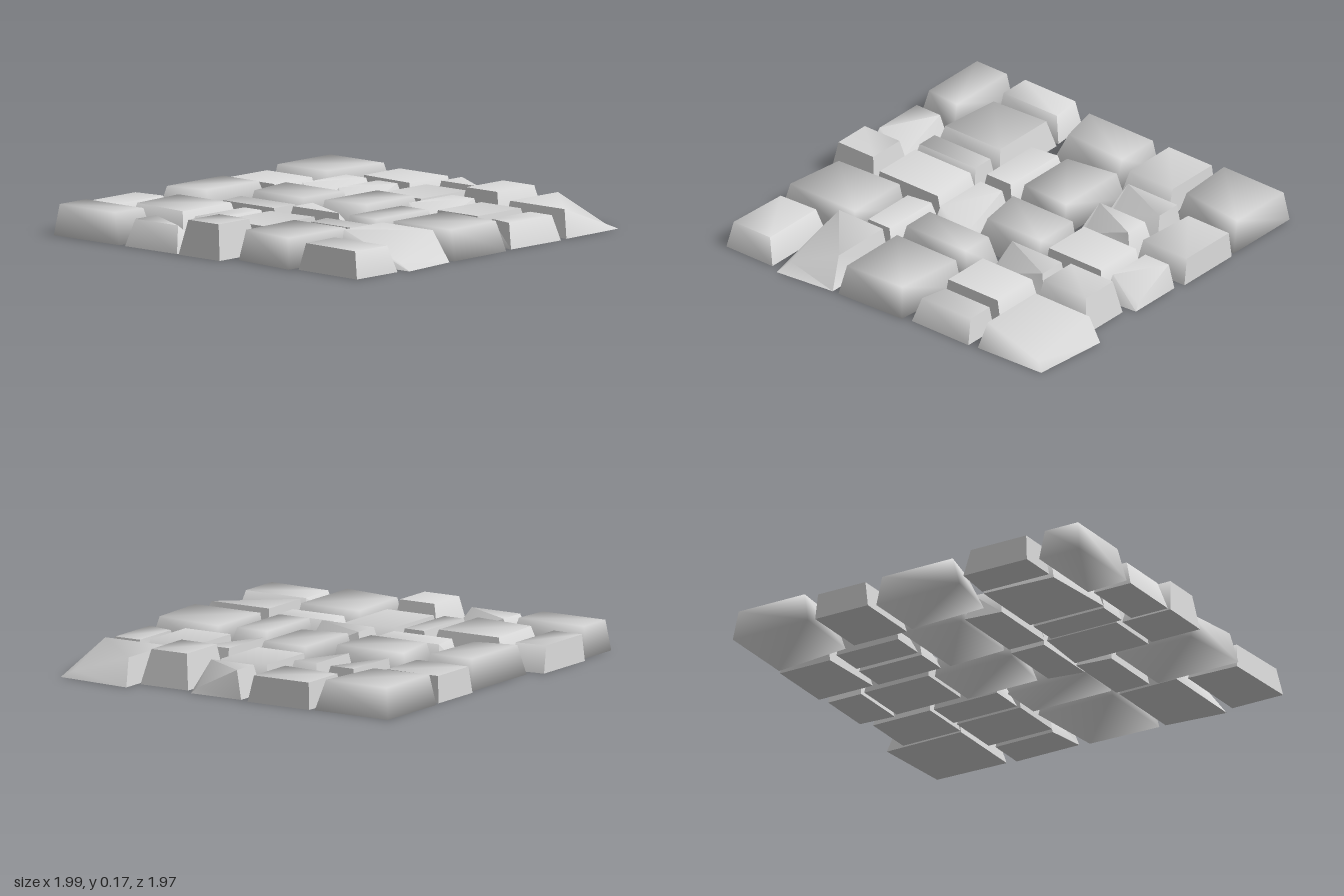
import * as THREE from 'three';
import { toCreasedNormals } from 'three/addons/utils/BufferGeometryUtils.js';

const stoneGrey = new THREE.MeshStandardMaterial({ color: 0xd6d6d6 });
stoneGrey.name = 'stone grey';

// One slab: base rectangle, inset of the top on each side (left, right, back, front), height,
// how far each base side leans, the chipped top corner (0 back left, then clockwise from above),
// and whether its edges are worn round.
function slab([x0, x1, z0, z1], [l, r, b, f], h, options = {}) {
  const { left = 0, right = 0, back = 0, front = 0, chip = -1, worn = false } = options;
  const base = [[x0, z0], [x1, z0 + back], [x1 + right, z1 + front], [x0 + left, z1]];
  const inset = [[l, b], [-r, b], [-r, -f], [l, -f]];
  const points = [
    ...base.map(([x, z]) => [x, 0, z]),
    ...base.map(([x, z], i) => [x + inset[i][0], i === chip ? h * 0.2 : h, z + inset[i][1]]),
  ];
  const index = [0, 1, 2, 0, 2, 3];
  // the top folds along the diagonal beside a chipped corner
  index.push(...(chip === 0 || chip === 2 ? [4, 7, 5, 5, 7, 6] : [4, 6, 5, 4, 7, 6]));
  for (let i = 0; i < 4; i++) {
    const j = (i + 1) % 4;
    index.push(i, i + 4, j + 4, i, j + 4, j);
  }
  const geometry = new THREE.BufferGeometry();
  geometry.setAttribute('position', new THREE.Float32BufferAttribute(points.flat(), 3));
  geometry.setIndex(index);
  return new THREE.Mesh(toCreasedNormals(geometry, worn ? 2.1 : 1.35), stoneGrey);
}

// Paving courses from back to front
const courses = {
  backCourse: [
    [[-0.99, -0.765, -0.96, -0.535], [0.02, 0.02, 0.02, 0.05], 0.15, { front: 0.015, worn: true }],
    [[-0.715, -0.36, -0.99, -0.79], [0.01, 0.035, 0.01, 0.03], 0.13, { right: 0.02 }],
    [[-0.30, 0.165, -0.93, -0.63], [0.05, 0.02, 0.02, 0.07], 0.15, { left: 0.05, front: 0.02, worn: true }],
    [[0.20, 0.495, -0.95, -0.60], [0.02, 0.01, 0.01, 0.05], 0.13],
    [[0.53, 0.95, -0.96, -0.59], [0.03, 0.02, 0.02, 0.05], 0.15, { left: 0.02, front: 0.045, worn: true }],
  ],
  secondCourse: [
    [[-0.99, -0.785, -0.50, -0.165], [0.04, 0.02, 0.03, 0.03], 0.13, { chip: 2 }],
    [[-0.715, -0.335, -0.75, -0.35], [0.04, 0.03, 0.04, 0.04], 0.145, { left: -0.03, back: -0.02 }],
    [[-0.735, -0.34, -0.33, -0.17], [0.03, 0.02, 0.02, 0.03], 0.13],
    [[-0.30, -0.105, -0.55, -0.17], [0.02, 0.03, 0.03, 0.02], 0.13, { back: -0.02 }],
    [[-0.08, 0.23, -0.56, -0.175], [0.02, 0.02, 0.04, 0.03], 0.15, { back: -0.045, front: 0.015, worn: true }],
    [[0.28, 0.625, -0.55, -0.37], [0.02, 0.02, 0.01, 0.04], 0.14, { chip: 3 }],
    [[0.28, 0.63, -0.34, -0.165], [0.03, 0.04, 0.02, 0.03], 0.14, { chip: 3 }],
    [[0.68, 0.96, -0.52, -0.17], [0.02, 0.01, 0.01, 0.03], 0.13, { left: -0.02 }],
  ],
  middleCourse: [
    [[-0.995, -0.725, -0.15, 0.115], [0.025, 0.03, 0.04, 0.03], 0.17],
    [[-0.70, -0.31, -0.16, 0.125], [0.01, 0.04, 0.01, 0.01], 0.13, { right: 0.02 }],
    [[-0.275, -0.09, -0.13, 0.235], [0.03, 0.02, 0.03, 0.04], 0.145, { front: -0.03, chip: 2 }],
    [[-0.075, 0.355, -0.10, 0.195], [0.04, 0.02, 0.01, 0.05], 0.15, { left: 0.04, worn: true }],
    [[0.375, 0.735, -0.125, 0.165], [0.01, 0.03, 0.01, 0.02], 0.13],
    [[0.755, 0.94, -0.12, 0.18], [0.03, 0.01, 0.03, 0.03], 0.14, { front: -0.015, chip: 2 }],
  ],
  fourthCourse: [
    [[-0.915, -0.505, 0.165, 0.525], [0.03, 0.02, 0.02, 0.03], 0.145, { left: -0.04, back: -0.02, worn: true }],
    [[-0.465, -0.28, 0.17, 0.51], [0.02, 0.035, 0.03, 0.02], 0.13, { back: -0.02 }],
    [[-0.27, 0.165, 0.25, 0.48], [0.02, 0.05, 0.02, 0.04], 0.145, { worn: true }],
    [[0.20, 0.555, 0.21, 0.39], [0.02, 0.03, 0.01, 0.03], 0.14, { chip: 3 }],
    [[0.575, 0.895, 0.21, 0.48], [0.025, 0.035, 0.03, 0.04], 0.17],
    [[0.195, 0.55, 0.41, 0.695], [0.01, 0.04, 0.01, 0.02], 0.13],
  ],
  frontCourse: [
    [[-0.925, -0.655, 0.56, 0.95], [0.02, 0.04, 0.03, 0.03], 0.13, { left: -0.015, back: -0.01 }],
    [[-0.605, -0.285, 0.53, 0.98], [0.02, 0.03, 0.01, 0.08], 0.15, { front: -0.035, chip: 3 }],
    [[-0.25, 0.165, 0.525, 0.945], [0.02, 0.03, 0.01, 0.04], 0.145, { right: -0.035, front: -0.015, worn: true }],
    [[0.21, 0.53, 0.725, 0.915], [0.03, 0.02, 0.01, 0.04], 0.12, { left: -0.03 }],
    [[0.58, 0.995, 0.495, 0.905], [0.03, 0.05, 0.02, 0.04], 0.135, { right: -0.035, front: -0.015, chip: 2 }],
  ],
};

export function createModel() {
  const model = new THREE.Group();
  model.name = 'stonePaving';
  for (const [name, slabs] of Object.entries(courses)) {
    const course = new THREE.Group();
    course.name = name;
    slabs.forEach((args, i) => {
      const stone = slab(...args);
      stone.name = `pavingStone${i + 1}`;
      course.add(stone);
    });
    model.add(course);
  }
  return model;
}
